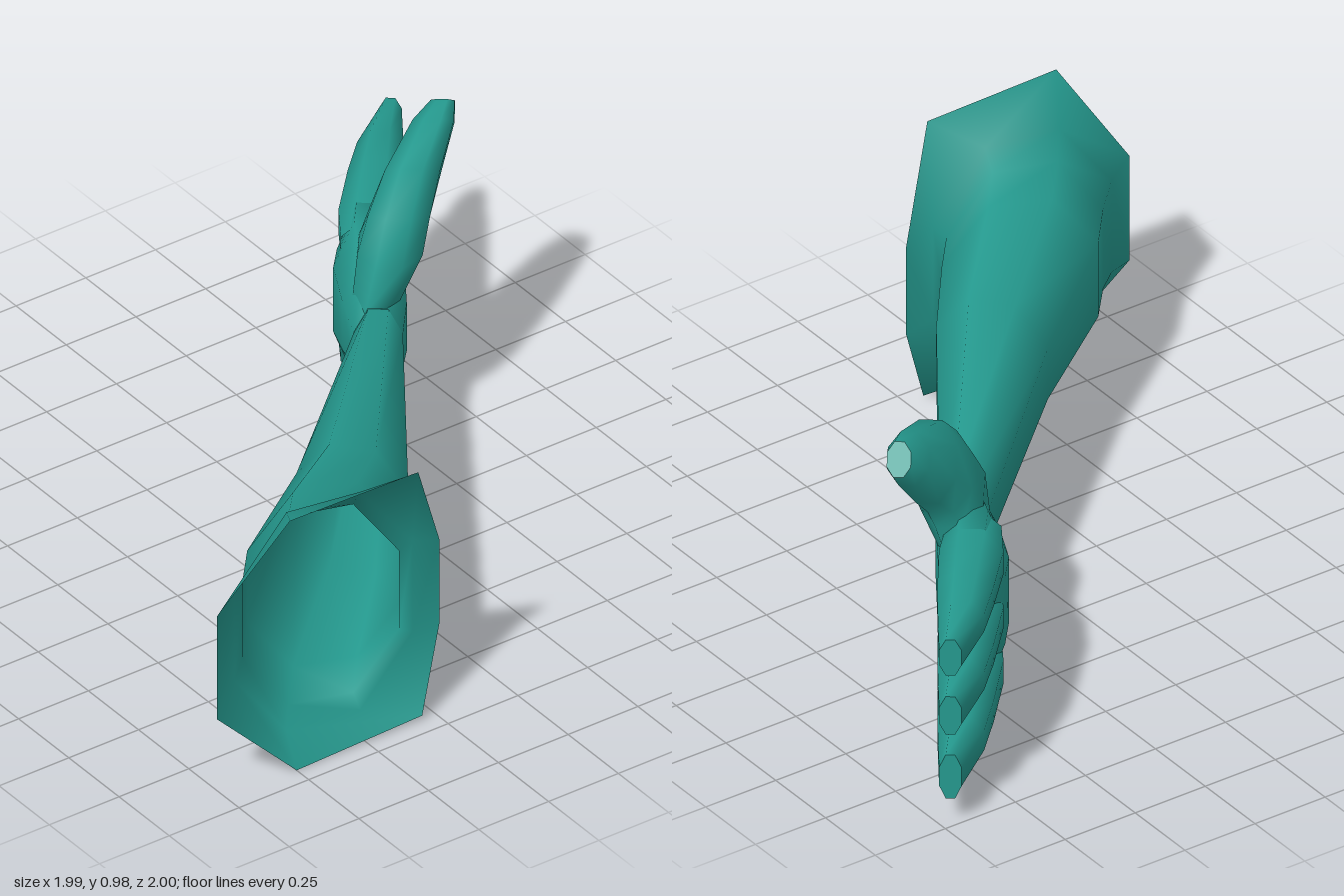
import * as THREE from 'three';

const SIDES = 8;
const V = (x, y, z) => new THREE.Vector3(x, y, z);
const UP = V(0, 1, 0);

// Hand frame: origin in the wrist, u along the fingers, v towards the palm side
const ORIGIN = V(-0.21, 0, -0.37);
const ALONG = V(-0.79, 0, -0.613);
const ACROSS = V(-0.613, 0, 0.79);
const handPoint = (u, y, v) =>
  ORIGIN.clone().addScaledVector(ALONG, u).addScaledVector(ACROSS, v).setY(y);

// Eight-sided ring around a centre with half axes a and b, flat on all four extremes
function ring(centre, a, b) {
  const k = 1 / Math.cos(Math.PI / SIDES);
  return Array.from({ length: SIDES }, (_, i) => {
    const t = ((i + 0.5) / SIDES) * Math.PI * 2;
    return centre.clone().addScaledVector(a, Math.cos(t) * k).addScaledVector(b, Math.sin(t) * k);
  });
}

// Skin over rings, with an optional flat end that keeps its own sharp edge
function loft(rings, capped) {
  const pos = [], idx = [];
  const add = (p) => pos.push(p.x, p.y, p.z);
  rings.forEach((r) => r.forEach(add));
  for (let i = 0; i < rings.length - 1; i++) {
    for (let j = 0; j < SIDES; j++) {
      const n = (j + 1) % SIDES;
      const a = i * SIDES + j, b = i * SIDES + n, c = b + SIDES, d = a + SIDES;
      idx.push(a, b, c, a, c, d);
    }
  }
  if (capped) {
    const start = rings.length * SIDES;
    rings[rings.length - 1].forEach(add);
    for (let j = 1; j < SIDES - 1; j++) idx.push(start, start + j, start + j + 1);
  }
  const g = new THREE.BufferGeometry();
  g.setAttribute('position', new THREE.Float32BufferAttribute(pos, 3));
  g.setIndex(idx);
  g.computeVertexNormals();
  return g;
}

// Hand section from its limits: [u, yLow, yHigh, vLow, vHigh]
const handRing = ([u, y0, y1, v0, v1]) =>
  ring(handPoint(u, (y0 + y1) / 2, (v0 + v1) / 2),
    ACROSS.clone().multiplyScalar((v1 - v0) / 2), UP.clone().multiplyScalar((y1 - y0) / 2));

// Sleeve section from its two side points in plan and its height limits
function sleeveRing([lx, lz, rx, rz, y0, y1]) {
  const c = V((lx + rx) / 2, (y0 + y1) / 2, (lz + rz) / 2);
  return ring(c, V((rx - lx) / 2, 0, (rz - lz) / 2), UP.clone().multiplyScalar((y1 - y0) / 2));
}

// Thumb section from its near and far edges in u and y: [uNear, yNear, uFar, yFar, v, half]
function thumbRing([un, yn, uf, yf, v, half]) {
  const near = handPoint(un, yn, v), far = handPoint(uf, yf, v);
  return ring(near.clone().add(far).multiplyScalar(0.5),
    ACROSS.clone().multiplyScalar(half), near.sub(far).multiplyScalar(0.5));
}

export function createModel() {
  const group = new THREE.Group();
  group.name = 'glove';
  const teal = new THREE.MeshStandardMaterial({ color: 0x259a8f, side: THREE.DoubleSide });
  teal.name = 'teal';
  const addPart = (name, rings, capped) => {
    const mesh = new THREE.Mesh(loft(rings, capped), teal);
    mesh.name = name;
    group.add(mesh);
  };

  // Sleeve widening from the wrist to a slanted open cuff
  const sleeve = [
    [-0.252, -0.312, -0.168, -0.428, 0.262, 0.548],
    [0.30, 0.29, 0.58, 0.09, 0.213, 0.635],
    [0.61, 0.69, 0.77, 0.245, 0.135, 0.745],
    [0.74, 0.80, 0.88, 0.34, 0.11, 0.77],
    [0.81, 0.88, 0.905, 0.31, 0.07, 0.835],
  ].map(sleeveRing);
  const rim = [
    V(0.90, 0.577, 0.21), V(0.99, 0.915, 0.35), V(0.99, 0.925, 0.81), V(0.89, 0.61, 1),
    V(0.89, 0.25, 1), V(0.94, 0, 0.75), V(0.94, 0.015, 0.30), V(0.90, 0.28, 0.21),
  ];
  addPart('sleeveAndCuff', [...sleeve, rim], false);

  // Palm
  addPart('palm', [
    [0, 0.262, 0.548, -0.072, 0.072],
    [0.14, 0.19, 0.60, -0.078, 0.11],
    [0.30, 0.105, 0.65, -0.066, 0.142],
    [0.40, 0.09, 0.65, -0.058, 0.135],
    [0.47, 0.12, 0.62, -0.03, 0.10],
  ].map(handRing), true);

  // Three fingers: height limits at each station
  const stations = [
    [0.30, -0.04, 0.12], [0.44, -0.056, 0.132], [0.64, -0.052, 0.112],
    [0.79, -0.045, 0.09], [0.98, -0.033, 0.033],
  ];
  const fingers = {
    upperFinger: [[0.49, 0.64], [0.466, 0.652], [0.488, 0.65], [0.499, 0.643], [0.508, 0.63]],
    middleFinger: [[0.30, 0.44], [0.283, 0.456], [0.288, 0.452], [0.297, 0.446], [0.305, 0.435]],
    lowerFinger: [[0.12, 0.26], [0.088, 0.278], [0.085, 0.262], [0.085, 0.248], [0.085, 0.235]],
  };
  for (const [name, heights] of Object.entries(fingers)) {
    addPart(name, stations.map(([u, v0, v1], i) => handRing([u, ...heights[i], v0, v1])), true);
  }

  // Thumb leaning to the back of the hand
  addPart('thumb', [
    [0.00, 0.53, 0.36, 0.46, 0.01, 0.07],
    [0.015, 0.68, 0.355, 0.62, -0.03, 0.095],
    [0.10, 0.795, 0.365, 0.68, -0.055, 0.09],
    [0.21, 0.90, 0.42, 0.745, -0.09, 0.08],
    [0.38, 0.965, 0.51, 0.86, -0.145, 0.06],
    [0.46, 0.98, 0.545, 0.91, -0.17, 0.035],
  ].map(thumbRing), true);

  return group;
}
